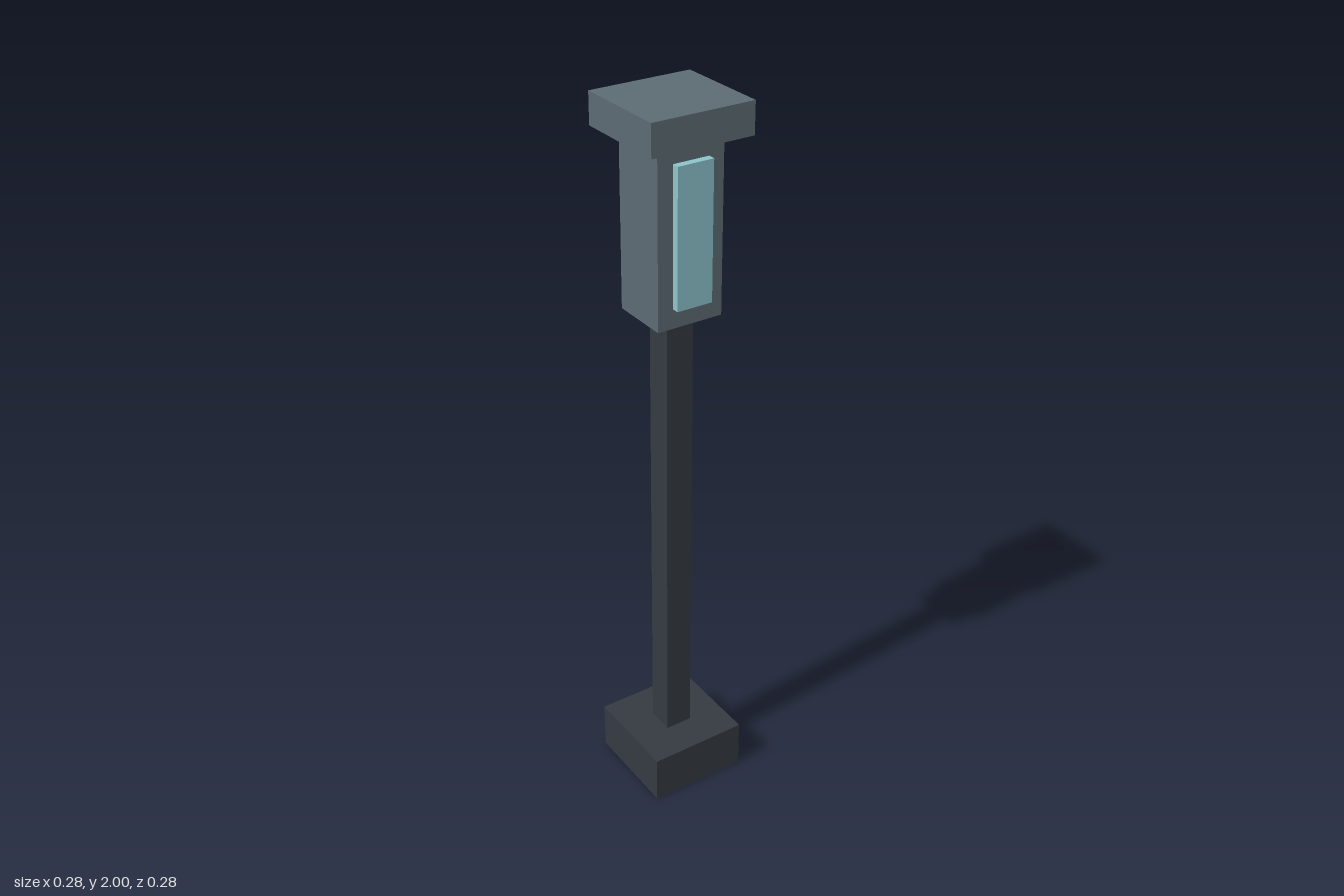
import * as THREE from 'three';

export function createModel() {
  const group = new THREE.Group();
  const material = (name, color) => {
    const m = new THREE.MeshStandardMaterial({ color });
    m.name = name;
    return m;
  };
  const darkIron = material('dark iron', 0x343a40);
  const greyMetal = material('grey metal', 0x5c6b73);
  const paleGlass = material('pale glass', 0x8cc4cb);

  // Centred box spanning y0 to y1
  const block = (name, mat, width, depth, y0, y1) => {
    const mesh = new THREE.Mesh(new THREE.BoxGeometry(width, y1 - y0, depth), mat);
    mesh.name = name;
    mesh.position.y = (y0 + y1) / 2;
    group.add(mesh);
  };

  block('base', darkIron, 0.284, 0.284, 0, 0.14);
  block('post', darkIron, 0.078, 0.078, 0.14, 1.45);
  block('lampHousing', greyMetal, 0.186, 0.166, 1.45, 1.916);
  // Glass runs through the housing and stands proud at front and back
  block('lampGlass', paleGlass, 0.101, 0.207, 1.503, 1.87);
  block('cap', greyMetal, 0.284, 0.269, 1.916, 2);

  return group;
}
